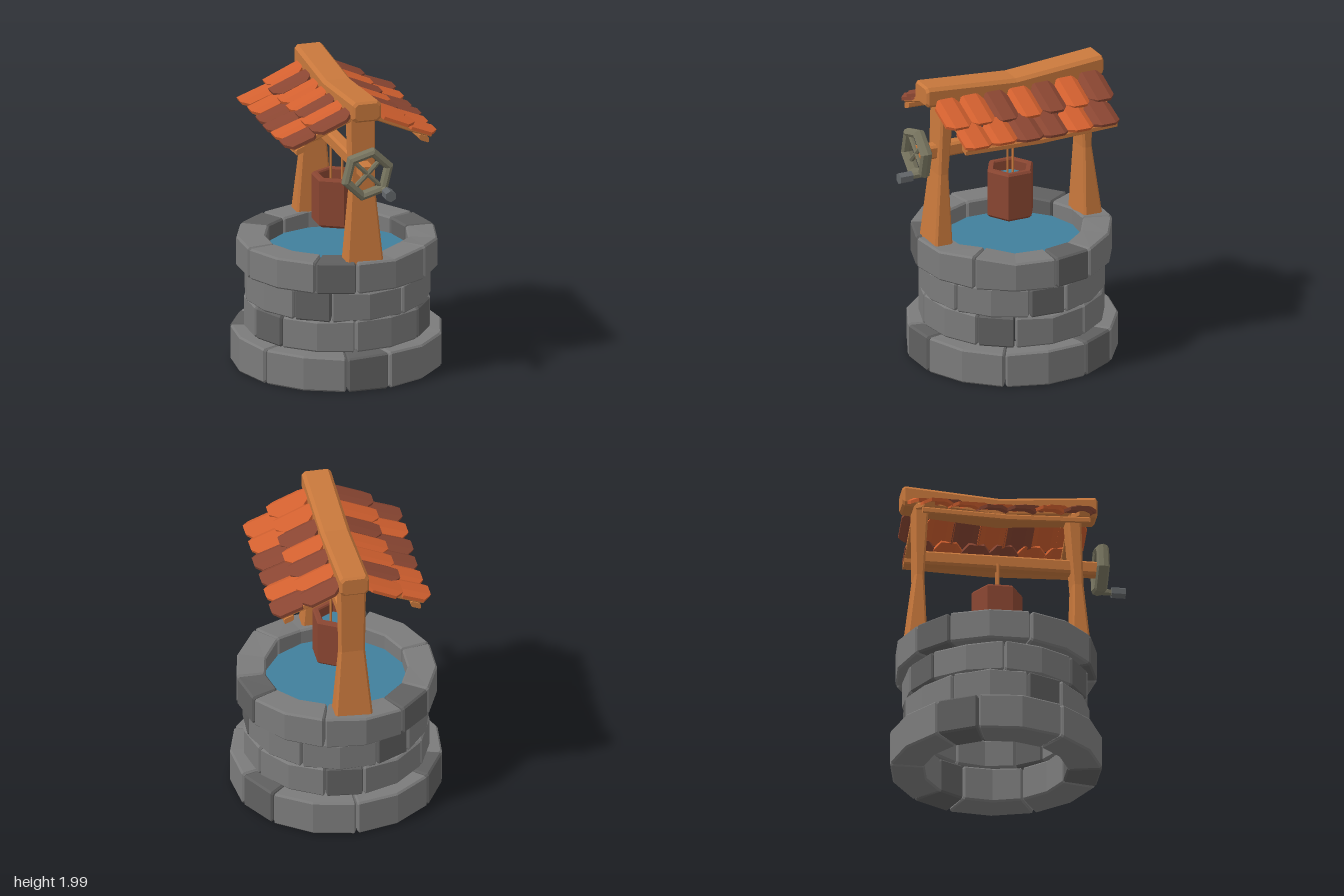
import * as THREE from 'three';

const mat = (name, color) => {
  const m = new THREE.MeshStandardMaterial({ color });
  m.name = name;
  return m;
};
const V = (x, y, z) => new THREE.Vector3(x, y, z);
const CZ = -0.09; // z of the well's axis

// Faceted normals
function facet(geo) {
  const g = geo.index ? geo.toNonIndexed() : geo;
  g.computeVertexNormals();
  return g;
}

// Closed solid through a list of equal-sized point loops, turned outward
function loft(loops) {
  const tris = [], n = loops[0].length, last = loops[loops.length - 1];
  for (let s = 0; s < loops.length - 1; s++) {
    for (let i = 0; i < n; i++) {
      const j = (i + 1) % n, A = loops[s], B = loops[s + 1];
      tris.push([A[i], A[j], B[j]], [A[i], B[j], B[i]]);
    }
  }
  for (let i = 1; i < n - 1; i++) {
    tris.push([loops[0][0], loops[0][i + 1], loops[0][i]], [last[0], last[i], last[i + 1]]);
  }
  let vol = 0;
  const cross = new THREE.Vector3();
  for (const [a, b, c] of tris) vol += a.dot(cross.crossVectors(b, c));
  const pts = tris.flatMap(([a, b, c]) => (vol < 0 ? [a, c, b] : [a, b, c]));
  return facet(new THREE.BufferGeometry().setFromPoints(pts));
}

// Rectangle with cut corners, as [u, v] pairs
function chamfered(hw, hh, c) {
  return [[hw - c, -hh], [hw, -hh + c], [hw, hh - c], [hw - c, hh],
    [-hw + c, hh], [-hw, hh - c], [-hw, -hh + c], [-hw + c, -hh]];
}

// Sag of the roof toward its middle
const sag = (z) => Math.max(0, 1 - Math.abs(z + 0.08) / 0.64);

export function createModel() {
  const root = new THREE.Group();
  root.name = 'well';
  const wood = mat('wood', 0xc8783c), orange = mat('orangeTile', 0xd2602f);
  const brown = mat('redBrown', 0x8a4632), stone = mat('stone', 0x7b7b7b);
  const darkStone = mat('darkStone', 0x606060), water = mat('water', 0x417f9c);
  const iron = mat('iron', 0x77745f), grip = mat('grip', 0x63676a);

  const add = (name, geo, material, parent = root) => {
    const m = new THREE.Mesh(geo, material);
    m.name = name;
    parent.add(m);
    return m;
  };
  const group = (name) => {
    const g = new THREE.Group();
    g.name = name;
    root.add(g);
    return g;
  };
  let seed = 7;
  const rnd = () => ((seed = (seed * 16807) % 2147483647) / 2147483647) * 2 - 1;

  // Four courses of bevelled stones: bottom, top, outer radius, first angle, unevenness
  const STEP = 24, rad = Math.PI / 180;
  const courses = [
    [0.005, 0.245, 0.70, -12, 0.008], [0.25, 0.46, 0.615, 42, 0.012],
    [0.46, 0.665, 0.615, 75, 0.012], [0.67, 0.885, 0.665, -30, 0.016]];
  courses.forEach(([y0, y1, R, start, wobble], row) => {
    const g = group('stoneCourse' + (row + 1));
    const tops = Array.from({ length: 15 }, () => rnd() * wobble);
    let k = 0;
    [1, 2, 2, 1, 2, 2, 1, 2, 2].forEach((len) => {
      const loops = [];
      const section = (deg, top, inset) => {
        const h = (y1 - y0) / 2, ri = 0.47, hw = (R - ri) / 2;
        const a = (start + deg) * rad;
        loops.push(chamfered(hw - inset, h - inset, 0.012).map(([u, v]) => {
          const r = ri + hw + u;
          const y = y0 + h + v + (v > 0 ? top : 0);
          return V(r * Math.sin(a), y, CZ + r * Math.cos(a));
        }));
      };
      const a0 = k * STEP, a1 = (k + len) * STEP;
      const t0 = tops[k], t1 = tops[(k + len) % 15];
      section(a0 + 0.4, t0, 0.012);
      section(a0 + 1.4, t0, 0);
      for (let i = 1; i < len; i++) section(a0 + i * STEP, tops[k + i], 0);
      section(a1 - 1.4, t1, 0);
      section(a1 - 0.4, t1, 0.012);
      add('stone', loft(loops), len === 1 ? darkStone : stone, g);
      k += len;
    });
  });

  // Water surface in the well
  const pool = add('wellWater', new THREE.CircleGeometry(0.475, 15), water);
  pool.rotation.x = -Math.PI / 2;
  pool.position.set(0, 0.77, CZ);

  // Posts: y, half width, outer z, inner z
  const post = (name, rows) => add(name, loft(rows.map(([y, hw, zo, zi]) =>
    chamfered(hw, (zo - zi) / 2, 0.014).map(([u, v]) => V(u, y, (zo + zi) / 2 + v)))), wood);
  post('frontPost', [[0.86, 0.128, 0.53, 0.40], [1.36, 0.086, 0.483, 0.41], [1.88, 0.092, 0.465, 0.37]]);
  post('backPost', [[0.86, 0.128, -0.56, -0.70], [1.36, 0.086, -0.575, -0.64], [1.88, 0.092, -0.545, -0.645]]);

  // Sagging ridge beam
  add('ridgeBeam', loft([[0.575, 0.014], [0.56, 0], [0.2, 0], [-0.08, 0], [-0.4, 0], [-0.705, 0], [-0.72, 0.014]]
    .map(([z, inset]) => chamfered(0.098 - inset, 0.07 - inset, 0.022)
      .map(([u, v]) => V(u, 1.927 + v - 0.05 * sag(z), z)))), wood);

  // Rafters, eave battens and tiles on both slopes
  const O = orange, B = brown;
  const tileColours = {
    '1': [[B, O, B, O, B, O, O], [B, O, B, B, O, O]],
    '-1': [[O, B, O, O, B, O, B], [O, O, B, B, O, B]],
  };
  for (const side of [1, -1]) {
    const g = group(side > 0 ? 'leftRoof' : 'rightRoof');
    for (const z of [0.43, -0.6]) {
      add('rafter', loft([[0.05, 1.865], [0.33, 1.745], [0.48, 1.69]].map(([x, y]) =>
        chamfered(0.035, 0.018, 0.006).map(([u, v]) => V(side * (x + v * 0.4), y + v, z + u)))), wood, g);
    }
    add('eaveBatten', loft([0.47, 0.2, -0.08, -0.35, -0.64].map((z) =>
      chamfered(0.032, 0.02, 0.007).map(([u, v]) =>
        V(side * (0.425 + u), 1.672 + v - u * 0.4 - 0.02 * sag(z), z)))), wood, g);

    // Tile rows: inner x and y, outer x and y, z from and to
    const rows = [[0.07, 1.885, 0.335, 1.768, -0.69, 0.53], [0.285, 1.772, 0.52, 1.682, -0.635, 0.475]];
    rows.forEach(([x0, y0, x1, y1, za, zb], r) => {
      const colours = tileColours[side][r], w = (zb - za) / colours.length;
      colours.forEach((colour, i) => {
        const zc = za + (i + 0.5) * w, shift = rnd() * 0.01, lift = rnd() * 0.006;
        const loops = [-0.53, -0.27, 0.27, 0.53].map((f) => {
          const edge = Math.abs(f) > 0.4;
          const c = edge ? 0.2 : 0, arch = edge ? -0.006 : 0.016;
          return [[c, 0], [1 - c, 0], [1 - c, 1], [c, 1]].map(([t, up]) => V(
            side * (x0 + (x1 - x0) * t + shift * t + up * 0.009),
            y0 + (y1 - y0) * t + arch + lift + up * 0.02 - 0.02 * sag(zc),
            zc + f * w));
        });
        add('roofTile', loft(loops), colour, g);
      });
    });
  }

  // Axle between the posts
  add('axle', loft([0.6, -0.58].map((z) =>
    chamfered(0.045, 0.047, 0.015).map(([u, v]) => V(u, 1.51 + v, z)))), wood);

  // Hexagonal hand wheel with crossed spokes and a grip
  const wheel = group('handWheel');
  wheel.position.set(-0.01, 1.51, 0.602);
  const rim = add('wheelRim', facet(new THREE.TorusGeometry(0.152, 0.033, 8, 6)), iron, wheel);
  rim.rotation.z = 16 * rad;
  rim.scale.z = 1.3;
  for (const a of [45, -45]) {
    add('wheelSpoke', facet(new THREE.CylinderGeometry(0.017, 0.017, 0.28, 6)), iron, wheel).rotation.z = a * rad;
  }
  const rod = (name, r, z0, z1, material) => {
    const m = add(name, facet(new THREE.CylinderGeometry(r, r, z1 - z0, 6)), material, wheel);
    m.rotation.x = Math.PI / 2;
    m.position.set(0.105, -0.11, (z0 + z1) / 2);
  };
  rod('gripNeck', 0.023, 0, 0.09, iron);
  rod('gripHandle', 0.039, 0.09, 0.183, grip);

  // Hollow hexagonal bucket hung on two rope strands
  const bucket = group('bucket');
  bucket.position.set(-0.006, 0, -0.082);
  const profile = [[0, 0.957], [0.148, 0.957], [0.168, 0.975], [0.168, 1.28], [0.156, 1.295],
    [0.128, 1.295], [0.12, 1.285], [0.12, 1.15]].map(([x, y]) => new THREE.Vector2(x, y));
  add('bucketBody', facet(new THREE.LatheGeometry(profile, 6)), brown, bucket);
  const fill = add('bucketWater', new THREE.CircleGeometry(0.125, 6), water, bucket);
  fill.rotation.set(-Math.PI / 2, 0, Math.PI / 6);
  fill.position.y = 1.22;
  for (const x of [0.04, -0.04]) {
    const rope = add('rope', facet(new THREE.CylinderGeometry(0.009, 0.009, 0.28, 6)), wood, bucket);
    rope.position.set(x, 1.35, 0);
  }
  return root;
}
